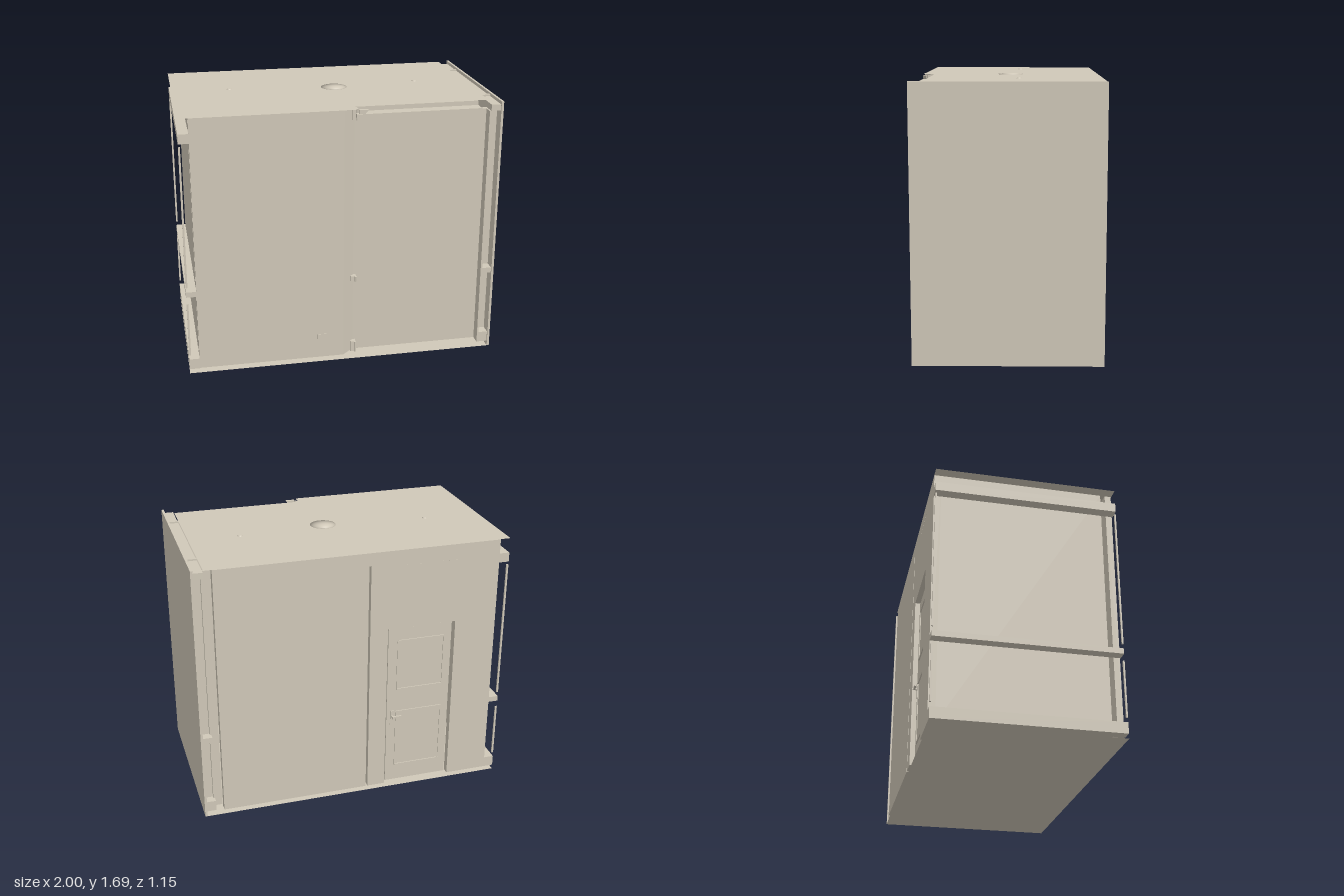
import * as THREE from 'three';

export function createModel() {
  const model = new THREE.Group();
  const plaster = new THREE.MeshStandardMaterial({ color: 0xd0c8b8, side: THREE.DoubleSide });
  plaster.name = 'warm grey plaster';

  const add = (name, geometry, parent = model) => {
    const mesh = new THREE.Mesh(geometry, plaster);
    mesh.name = name;
    parent.add(mesh);
    return mesh;
  };
  // Box given by its limits on each axis
  const box = (name, x0, x1, y0, y1, z0, z1, parent) => {
    const g = new THREE.BoxGeometry(x1 - x0, y1 - y0, z1 - z0);
    g.translate((x0 + x1) / 2, (y0 + y1) / 2, (z0 + z1) / 2);
    return add(name, g, parent);
  };
  const shapeOf = (points) => new THREE.Shape(points.map(([a, b]) => new THREE.Vector2(a, b)));

  const Z = 0.575;      // half depth
  const BASE = 0.03;    // underside of the wall panels
  const TOP = 1.685;    // roof level
  const INNER = 0.935;  // inner side panels

  // Floor sheet
  const floor = new THREE.PlaneGeometry(2, 2 * Z);
  floor.rotateX(-Math.PI / 2);
  add('floor', floor);

  // Roof sheet, set back above the recessed front panel
  const roof = new THREE.ShapeGeometry(shapeOf([
    [-1, Z], [0.925, Z], [0.925, -0.5], [0.075, -0.5], [0.075, -Z], [-1, -Z],
  ]));
  roof.rotateX(-Math.PI / 2);
  roof.translate(0, TOP, 0);
  add('roof', roof);

  // Front wall with a slanted return towards the recess
  const frontWall = new THREE.ExtrudeGeometry(shapeOf([
    [-INNER, -0.57], [0, -0.57], [0.075, -0.5], [0.075, -0.46], [-INNER, -0.53],
  ]), { depth: TOP - 0.002 - BASE, bevelEnabled: false });
  frontWall.rotateX(-Math.PI / 2);
  frontWall.translate(0, BASE, 0);
  add('frontWall', frontWall);
  box('wallSocket', -0.17, -0.11, 0.16, 0.195, 0.569, 0.573);

  // Recessed front panel and the beam over it
  box('recessedPanel', 0.075, 0.925, BASE, 1.63, 0.47, 0.5);
  box('frontBeam', 0.075, 0.86, 1.63, 1.655, 0.5, Z);
  box('frontBeamBack', 0.075, 0.86, 1.655, TOP - 0.002, 0.48, 0.5);
  box('panelEdge', 0.915, 0.925, BASE, 1.63, 0.5, 0.565);

  // Hinges and bracket along the recess
  for (const [y0, y1] of [[BASE, 0.1], [0.535, 0.57], [1.61, 1.68]]) {
    box('hingePlate', 0.055, 0.09, y0, y1, 0.5, 0.535);
    const pin = add('hingePin', new THREE.CylinderGeometry(0.007, 0.007, y1 - y0, 10));
    pin.position.set(0.085, (y0 + y1) / 2, 0.54);
  }
  const bracket = new THREE.ExtrudeGeometry(
    shapeOf([[0.09, 1.68], [0.15, 1.68], [0.11, 1.635], [0.09, 1.635]]),
    { depth: 0.02, bevelEnabled: false });
  bracket.translate(0, 0, 0.55);
  add('beamBracket', bracket);

  // Back wall with a doorway and a narrow joint
  const backWall = new THREE.ExtrudeGeometry(shapeOf([
    [-INNER, BASE], [-0.66, BASE], [-0.66, 1.165], [-0.21, 1.165], [-0.21, BASE],
    [-0.093, BASE], [-0.093, 1.6], [-0.08, 1.6], [-0.08, BASE],
    [0.875, BASE], [0.875, TOP - 0.002], [-INNER, TOP - 0.002],
  ]), { depth: 0.045, bevelEnabled: false });
  backWall.translate(0, 0, -Z);
  add('backWall', backWall);
  for (let i = 0; i < 10; i++) {
    const x = -0.22 - i * 0.047;
    box('ventHole', x - 0.008, x, 1.58, 1.584, -Z - 0.002, -Z);
  }

  // Door with raised mouldings and a lever handle
  const door = new THREE.Group();
  door.name = 'door';
  model.add(door);
  box('doorLeaf', -0.65, -0.225, BASE, 1.15, -0.545, -0.53, door);
  for (const [y0, y1] of [[0.145, 0.55], [0.715, 1.06]]) {
    for (const y of [y0, y1]) box('doorMoulding', -0.6, -0.29, y - 0.006, y + 0.006, -0.552, -0.545, door);
    for (const x of [-0.6, -0.29]) box('doorMoulding', x - 0.004, x + 0.004, y0, y1, -0.55, -0.545, door);
  }
  box('handlePlate', -0.275, -0.25, 0.46, 0.56, -0.552, -0.545, door);
  box('handleStem', -0.267, -0.257, 0.515, 0.528, -0.58, -0.55, door);
  box('handleLever', -0.32, -0.257, 0.515, 0.528, -0.575, -0.563, door);

  // Left side: inner panel, rails and slim edge bars
  box('leftInnerPanel', -INNER, -INNER + 0.02, BASE, TOP - 0.002, -Z + 0.045, 0.5);
  box('leftBaseRail', -1, -INNER, BASE, 0.1, -Z, Z);
  box('leftMiddleRail', -1, -INNER, 0.535, 0.57, -Z, Z);
  box('leftUpperRail', -1, -INNER, 1.53, 1.59, -Z, Z);
  for (const [y0, y1] of [[0.13, 0.49], [0.6, 1.51]]) {
    for (const z of [-Z, Z - 0.01]) box('leftEdgeBar', -1, -0.988, y0, y1, z, z + 0.01);
  }

  // Right side: outer wall, inner panel and the cavity rails between
  box('rightWall', 0.985, 1, 0, 1.69, -Z, Z);
  box('rightInnerPanel', 0.925, 0.935, BASE, 1.66, -0.53, 0.5);
  box('rightCavityFront', 0.935, 0.985, BASE, 1.66, 0.48, 0.5);
  box('rightCavityBack', 0.875, 0.985, BASE, 1.66, -0.51, -0.5);
  for (const [y0, y1] of [[BASE, 0.1], [0.535, 0.57], [1.63, 1.67]]) {
    box('rightCavityRail', 0.925, 0.985, y0, y1, -Z + 0.01, Z - 0.01);
  }
  for (const z of [-0.35, 0.35]) box('rightTopClip', 0.925, 0.985, 1.67, 1.68, z - 0.012, z + 0.012);

  // Shallow roof dome that keeps its rounded shading
  const dome = new THREE.SphereGeometry(0.083, 40, 14, 0, Math.PI * 2, 0, Math.PI / 2);
  const p = dome.attributes.position;
  for (let i = 0; i < p.count; i++) p.setY(i, p.getY(i) * 0.07);
  add('roofDome', dome).position.set(0.045, TOP, 0);

  // Small roof fittings
  for (const x of [-0.63, 0.6]) {
    add('roofFitting', new THREE.CylinderGeometry(0.013, 0.018, 0.008, 20)).position.set(x, TOP + 0.002, -0.06);
  }

  return model;
}
